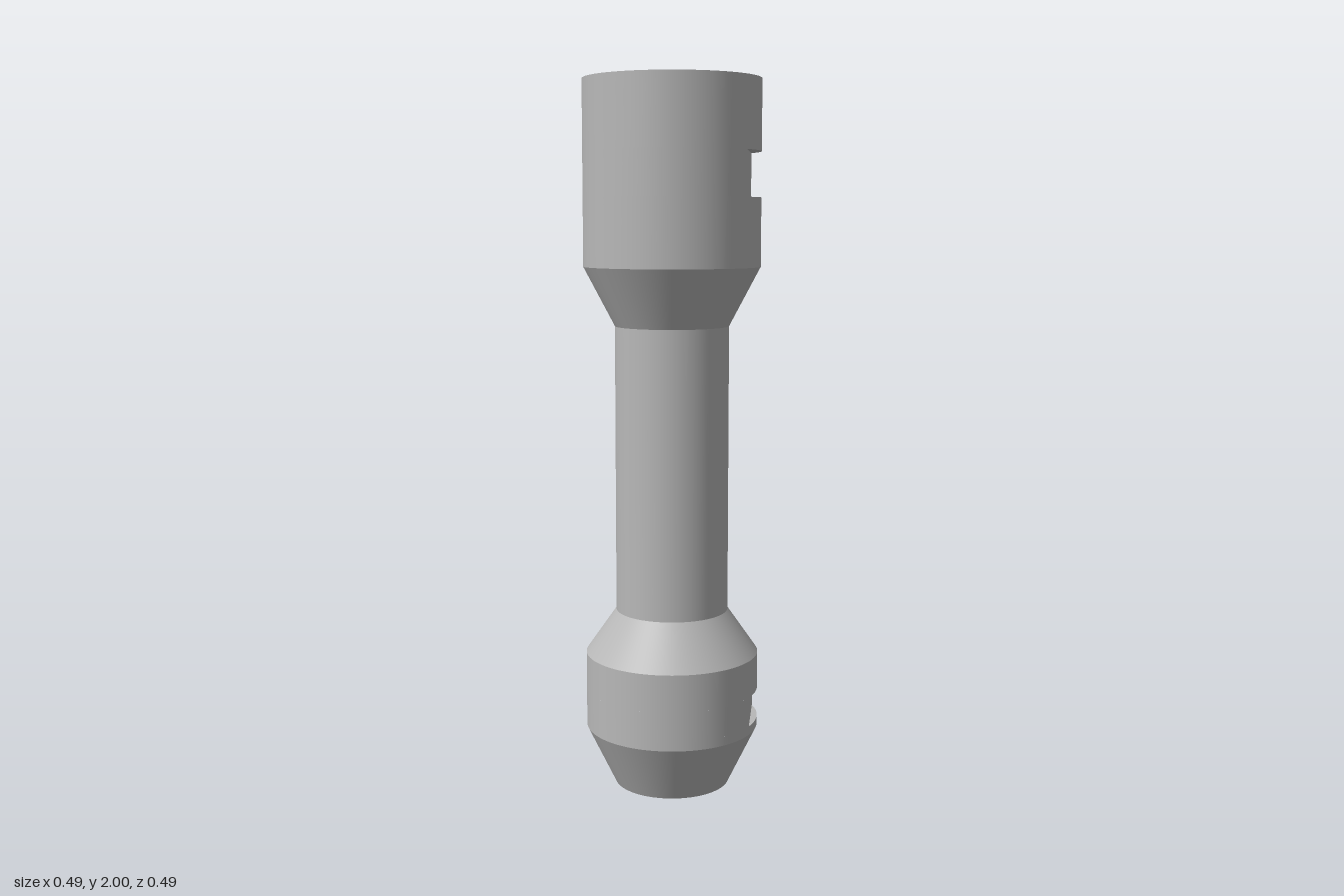
import * as THREE from 'three';
import { mergeGeometries } from 'three/addons/utils/BufferGeometryUtils.js';

const R = 0.247;        // collar radius
const NECK = 0.16;      // slim middle radius
const TIP = 0.165;      // bottom face radius
const BORE = 0.051, COUNTERBORE = 0.077;
const STEP_Y = 1.0;     // ledge inside the bore
const SIDES = 128;

const steel = new THREE.MeshStandardMaterial({ color: 0xb8b8b8 });
steel.name = 'steelGrey';

// Revolve each profile edge separately so the edges between them stay crisp
function turned(name, points) {
  const parts = [];
  for (let i = 0; i < points.length - 1; i++) {
    const pair = [points[i], points[i + 1]].map(([r, y]) => new THREE.Vector2(r, y));
    parts.push(new THREE.LatheGeometry(pair, SIDES));
  }
  return named(name, mergeGeometries(parts));
}

function named(name, geometry) {
  const mesh = new THREE.Mesh(geometry, steel);
  mesh.name = name;
  return mesh;
}

// Collar band with a flat-bottomed slot milled across its +x side
function slottedBand(name, y0, y1, halfWidth) {
  const group = new THREE.Group();
  group.name = name;
  const a = Math.asin(halfWidth / R);
  const edge = [new THREE.Vector2(R, y0), new THREE.Vector2(R, y1)];
  const wall = new THREE.LatheGeometry(edge, SIDES, Math.PI / 2 + a, Math.PI * 2 - 2 * a);

  const flat = new THREE.PlaneGeometry(2 * halfWidth, y1 - y0);
  flat.rotateY(Math.PI / 2).translate(R * Math.cos(a), (y0 + y1) / 2, 0);

  const segment = new THREE.Shape();
  segment.absarc(0, 0, R, -a, a, false);
  segment.closePath();
  const floor = new THREE.ShapeGeometry(segment, 24).rotateX(-Math.PI / 2).translate(0, y0, 0);
  const ceiling = new THREE.ShapeGeometry(segment, 24).rotateX(Math.PI / 2).translate(0, y1, 0);

  group.add(named('bandWall', wall), named('slotFlat', flat),
    named('slotFloor', floor), named('slotCeiling', ceiling));
  return group;
}

export function createModel() {
  const model = new THREE.Group();
  model.name = 'turnedShaft';

  const lowSlot = [0.195, 0.28], highSlot = [1.68, 1.805];

  model.add(
    // Bottom face, tapered nose and start of the lower collar
    turned('nose', [[BORE, 0], [TIP, 0], [R, 0.17], [R, lowSlot[0]]]),
    slottedBand('lowerSlot', ...lowSlot, 0.093),
    // Lower shoulder, slim neck, upper shoulder
    turned('neck', [[R, lowSlot[1]], [R, 0.387], [NECK, 0.512],
      [NECK, 1.325], [R, 1.49], [R, highSlot[0]]]),
    slottedBand('upperSlot', ...highSlot, 0.125),
    // Upper collar and top face
    turned('head', [[R, highSlot[1]], [R, 2], [COUNTERBORE, 2]]),
    // Stepped through-hole
    turned('bore', [[COUNTERBORE, 2], [COUNTERBORE, STEP_Y], [BORE, STEP_Y], [BORE, 0]]),
  );
  return model;
}
